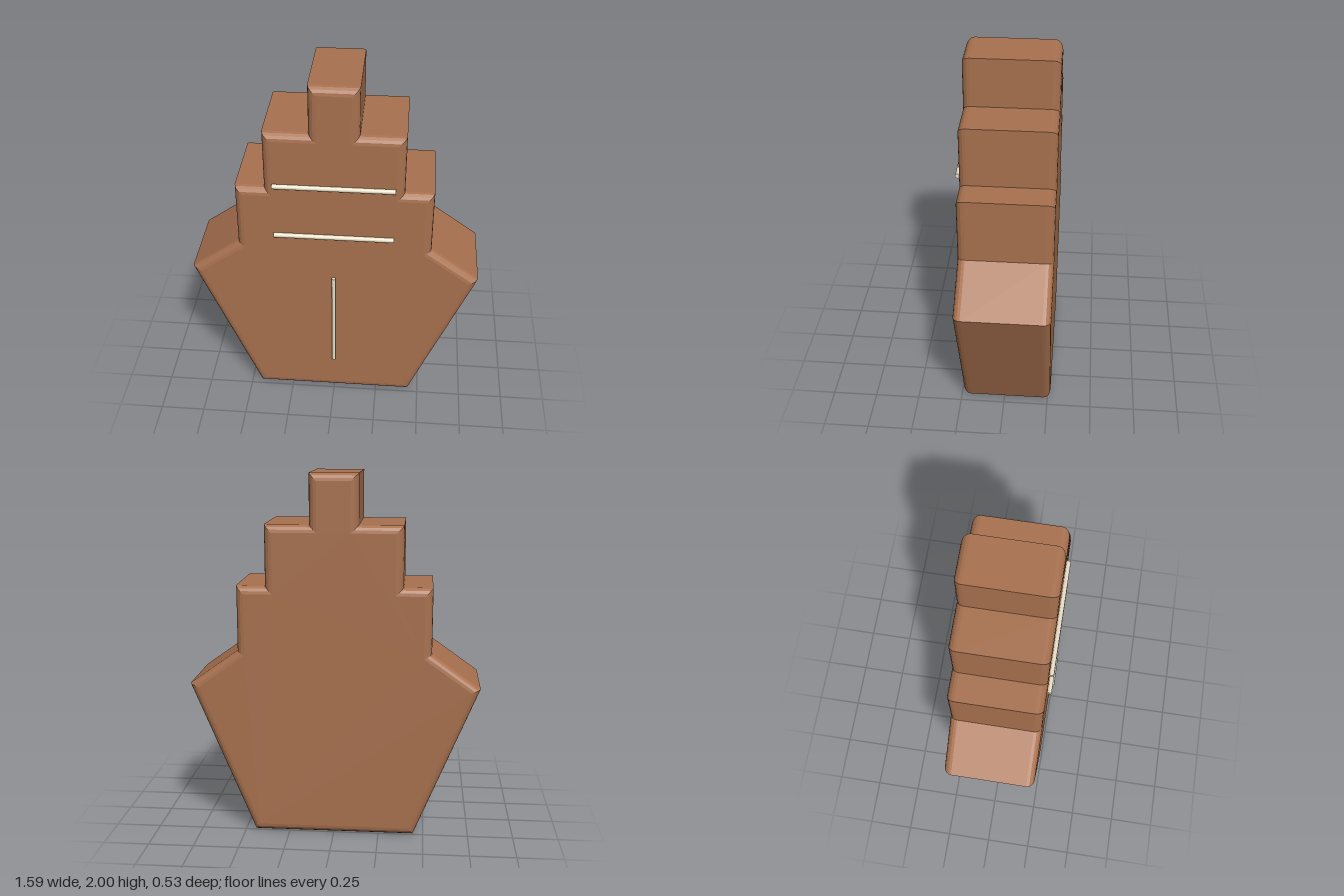
import * as THREE from 'three';

export function createModel() {
  const model = new THREE.Group();
  const clay = new THREE.MeshStandardMaterial({ color: 0xa8714f });
  const cream = new THREE.MeshStandardMaterial({ color: 0xe8dfc8 });

  // Stepped body: right half of the outline from bottom to top, mirrored
  const half = [
    [0.445, 0], [0.797, 0.85], [0.53, 1.04], [0.53, 1.4],
    [0.373, 1.4], [0.373, 1.73], [0.133, 1.73], [0.133, 2],
  ];
  const outline = [...half, ...half.map(([x, y]) => [-x, y]).reverse()];
  const shape = new THREE.Shape(outline.map(([x, y]) => new THREE.Vector2(x, y)));
  const back = -0.267, front = 0.24, bevel = 0.042;
  const bodyGeometry = new THREE.ExtrudeGeometry(shape, {
    depth: front - back - 2 * bevel,
    bevelEnabled: true,
    bevelThickness: bevel,
    bevelSize: bevel,
    bevelOffset: -bevel, // keeps the outer outline at full size
    bevelSegments: 4,
  });
  bodyGeometry.translate(0, 0, back + bevel);
  const body = new THREE.Mesh(bodyGeometry, clay);
  body.name = 'steppedBody';
  model.add(body);

  // Thin round rods half sunk into the front face
  function addRod(name, radius, length, y, z, horizontal) {
    const rod = new THREE.Mesh(new THREE.CylinderGeometry(radius, radius, length, 16), cream);
    rod.name = name;
    rod.position.set(0, y, z);
    if (horizontal) rod.rotation.z = Math.PI / 2;
    model.add(rod);
  }
  addRod('upperCrossRod', 0.0135, 0.65, 1.425, 0.249, true);
  addRod('lowerCrossRod', 0.0135, 0.65, 1.115, 0.249, true);
  addRod('uprightRod', 0.011, 0.6, 0.54, 0.256, false);

  return model;
}
